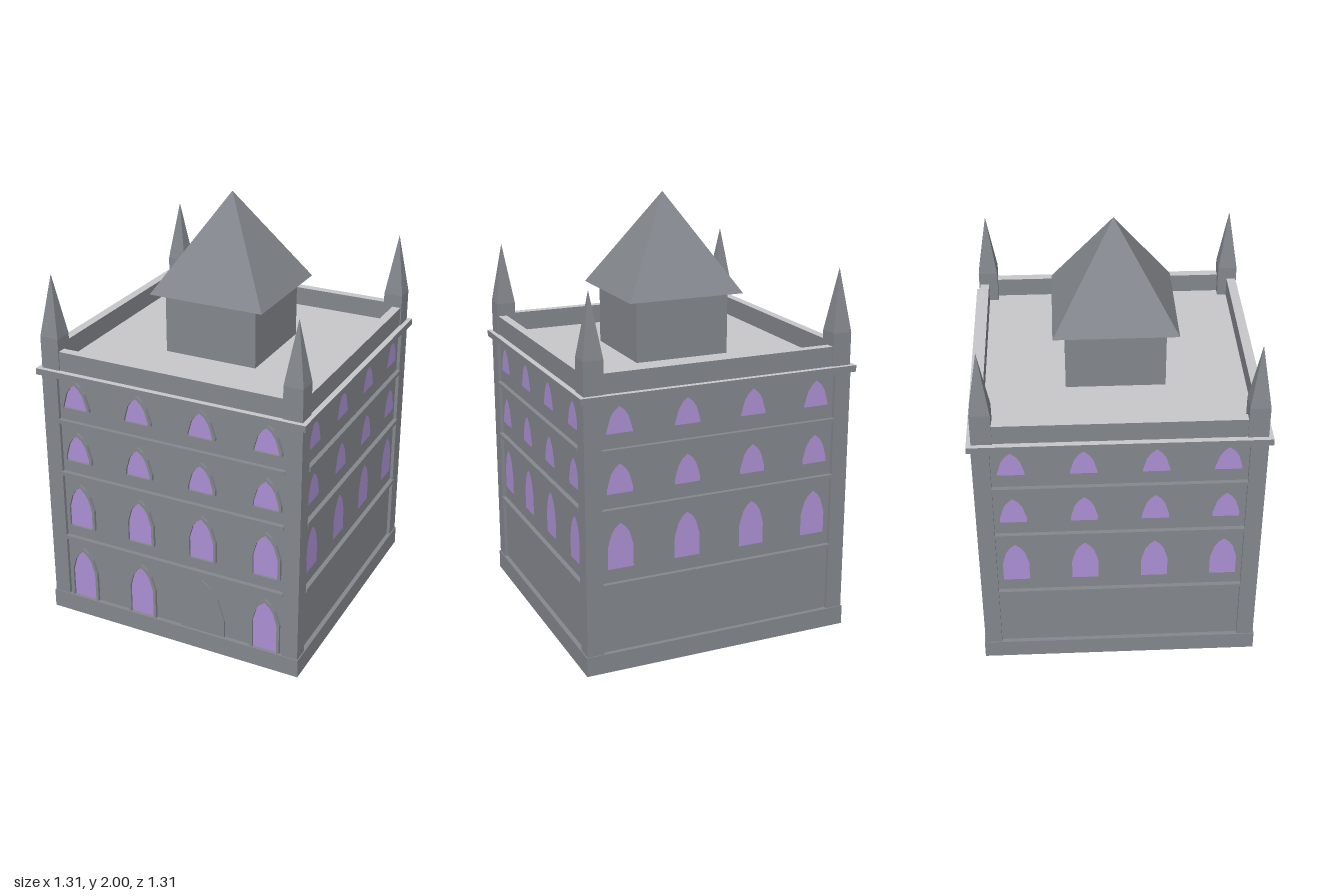
import * as THREE from 'three';

const stone = new THREE.MeshStandardMaterial({ name: 'grey stone', color: 0x83868c });
const paleStone = new THREE.MeshStandardMaterial({ name: 'pale roof stone', color: 0xc6c6ca });
const glass = new THREE.MeshStandardMaterial({ name: 'violet glass', color: 0xab90d3 });

const WALL = 0.622; // distance of the wall planes from the centre
const COLUMNS = [-0.473, -0.158, 0.158, 0.473];

function add(parent, name, geometry, material) {
  const mesh = new THREE.Mesh(geometry, material);
  mesh.name = name;
  parent.add(mesh);
  return mesh;
}

// Box given by its bottom height rather than its centre
function block(parent, name, w, h, d, x, y, z, material = stone) {
  const mesh = add(parent, name, new THREE.BoxGeometry(w, h, d), material);
  mesh.position.set(x, y + h / 2, z);
  return mesh;
}

// Four-sided pyramid with its sides square to the axes
function pyramid(parent, name, half, h, x, y, z) {
  const geometry = new THREE.ConeGeometry(half * Math.SQRT2, h, 4, 1).toNonIndexed();
  geometry.rotateY(Math.PI / 4);
  geometry.computeVertexNormals();
  add(parent, name, geometry, stone).position.set(x, y + h / 2, z);
}

// Pointed arch outline, with the rise measured from springing to apex
function archPoints(half, bottom, top, rise) {
  const spring = Math.max(top - rise, bottom + 0.005);
  const r = top - spring;
  const right = [[half, bottom], [half, spring], [half * 0.7, spring + r * 0.57], [half * 0.4, spring + r * 0.82]];
  const left = right.map(([x, y]) => [-x, y]).reverse();
  return [...right, [0, top], ...left].map(([x, y]) => new THREE.Vector2(x, y));
}

function square(half) {
  return [[-half, -half], [half, -half], [half, half], [-half, half]].map(([x, y]) => new THREE.Vector2(x, y));
}

function archWindow(side, x, bottom, top, framed) {
  const inner = archPoints(0.06, bottom, top, 0.11);
  const pane = add(side, 'windowPane', new THREE.ShapeGeometry(new THREE.Shape(inner)), glass);
  pane.position.set(x, 0, WALL + 0.003);
  if (!framed) return;
  const outline = new THREE.Shape(archPoints(0.073, bottom, top + 0.015, 0.12));
  outline.holes.push(new THREE.Path(inner));
  const geometry = new THREE.ExtrudeGeometry(outline, { depth: 0.014, bevelEnabled: false });
  add(side, 'windowFrame', geometry, stone).position.set(x, 0, WALL);
}

// One facade facing +z, later turned into place
function facade(name, isFront) {
  const side = new THREE.Group();
  side.name = name;
  const floors = [[0.48, 0.69], [0.825, 0.958], [1.093, 1.212]];
  for (const [bottom, top] of floors) {
    for (const x of COLUMNS) archWindow(side, x, bottom, top, isFront);
  }
  // String courses between the corner piers
  for (const [y, h] of [[0.4, 0.018], [0.742, 0.018], [1.01, 0.018]]) {
    block(side, 'stringCourse', 1.12, h, 0.03, 0, y, 0.628);
  }
  if (isFront) {
    // Ground floor windows and the arched door
    for (const x of COLUMNS) if (x !== 0.158) archWindow(side, x, 0.09, 0.345, true);
    const doorShape = new THREE.Shape(archPoints(0.112, 0.09, 0.365, 0.19));
    const door = new THREE.ExtrudeGeometry(doorShape, { depth: 0.009, bevelEnabled: false });
    add(side, 'door', door, stone).position.set(0.158, 0, WALL);
  }
  return side;
}

export function createModel() {
  const model = new THREE.Group();
  model.name = 'building';

  // Main body
  block(model, 'plinth', 1.286, 0.09, 1.286, 0, 0, 0);
  block(model, 'walls', WALL * 2, 1.15, WALL * 2, 0, 0.09, 0);
  ['front', 'right', 'back', 'left'].forEach((name, i) => {
    const side = facade(name + 'Facade', i === 0);
    side.rotation.y = -i * Math.PI / 2;
    model.add(side);
  });

  // Cornice, whose pale top also forms the roof deck
  block(model, 'cornice', 1.312, 0.03, 1.312, 0, 1.24, 0,
    [stone, stone, paleStone, stone, stone, stone]);

  // Parapet ring
  const ring = new THREE.Shape(square(0.63));
  ring.holes.push(new THREE.Path(square(0.588)));
  const parapet = new THREE.ExtrudeGeometry(ring, { depth: 0.09, bevelEnabled: false });
  parapet.rotateX(-Math.PI / 2);
  add(model, 'parapet', parapet, [paleStone, stone]).position.y = 1.27;

  // Corner piers and pinnacles
  for (const sx of [-1, 1]) {
    for (const sz of [-1, 1]) {
      block(model, 'cornerPier', 0.078, 1.15, 0.078, sx * 0.599, 0.09, sz * 0.599);
      block(model, 'pinnacleBase', 0.09, 0.15, 0.09, sx * 0.59, 1.27, sz * 0.59);
      pyramid(model, 'pinnacleSpire', 0.045, 0.285, sx * 0.59, 1.42, sz * 0.59);
    }
  }

  // Central tower
  block(model, 'towerWalls', 0.45, 0.29, 0.45, 0, 1.27, 0);
  pyramid(model, 'towerRoof', 0.278, 0.444, 0, 1.556, 0);
  return model;
}
